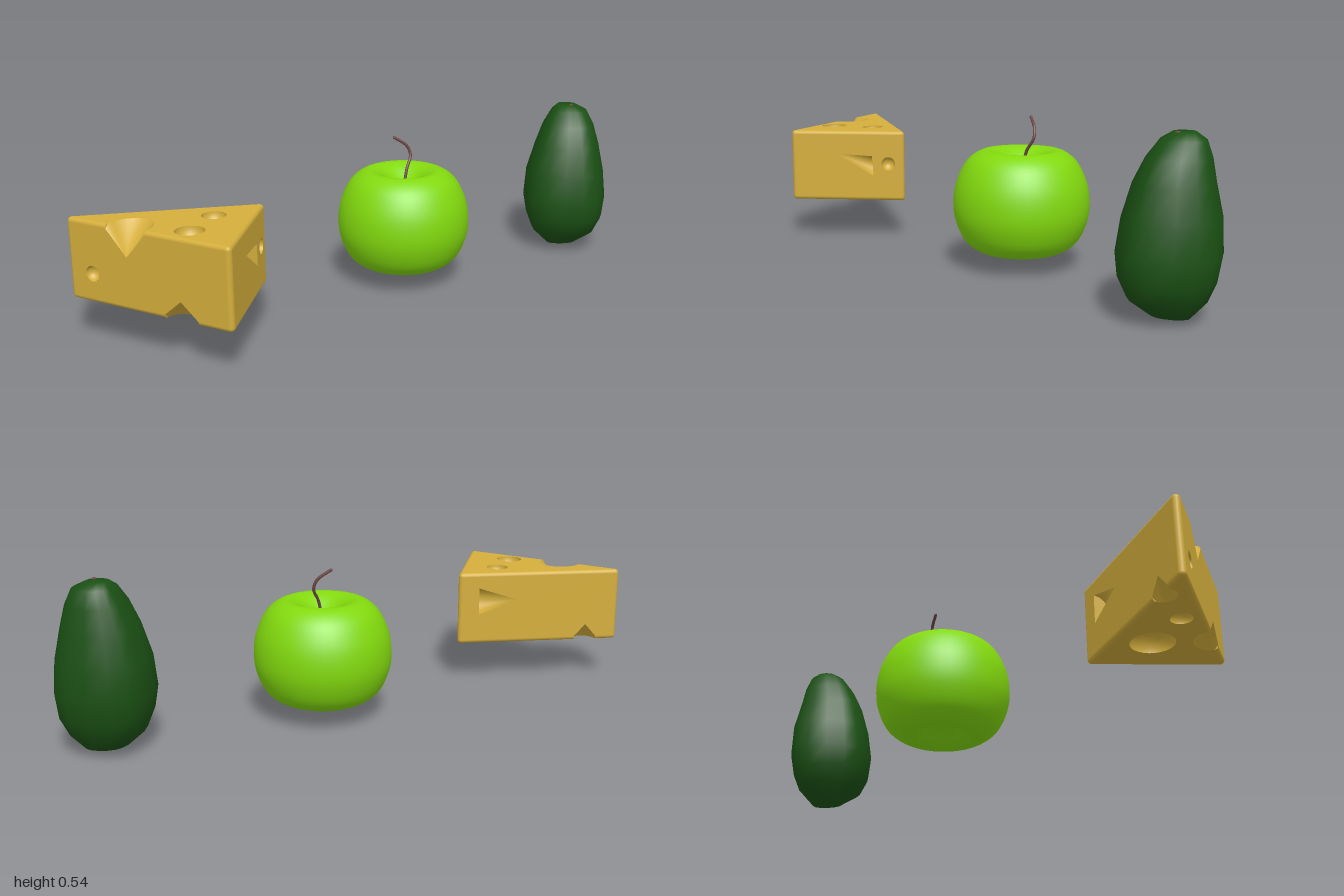
import * as THREE from 'three';
import { mergeVertices } from 'three/addons/utils/BufferGeometryUtils.js';

const V = (x, y, z) => new THREE.Vector3(x, y, z);
const UP = V(0, 1, 0);
const mat = (color) => new THREE.MeshStandardMaterial({ color, side: THREE.DoubleSide });

function add(parent, name, geometry, material) {
  const mesh = new THREE.Mesh(geometry, material);
  mesh.name = name;
  parent.add(mesh);
  return mesh;
}

// Flat face through world points, with holes, facing u x v
function panel(outline, holes, u, v) {
  const n = u.clone().cross(v);
  const flat = (pts) => pts.map((p) => new THREE.Vector2(p.dot(u), p.dot(v)));
  const shape = new THREE.Shape(flat(outline));
  shape.holes = holes.map((h) => new THREE.Path(flat(h)));
  const basis = new THREE.Matrix4().makeBasis(u, v, n).setPosition(n.clone().multiplyScalar(outline[0].dot(n)));
  return new THREE.ShapeGeometry(shape).applyMatrix4(basis);
}

// Triangles from one tip to a row of points
function fan(tip, pts) {
  const g = new THREE.BufferGeometry().setFromPoints([tip, ...pts]);
  const index = [];
  for (let i = 1; i < pts.length; i++) index.push(0, i, i + 1);
  g.setIndex(index);
  g.computeVertexNormals();
  return g;
}

// Arc around c: starts at c + a, passes c + b
function arc(c, a, b, angle = Math.PI, steps = 16) {
  return Array.from({ length: steps + 1 }, (_, i) => {
    const t = (angle * i) / steps;
    return c.clone().addScaledVector(a, Math.cos(t)).addScaledVector(b, Math.sin(t));
  });
}

function makeCheese() {
  const cheese = new THREE.Group();
  cheese.name = 'cheese';
  const m = mat(0xd4ae3c);
  const r = 0.013, low = 0.156, high = 0.387;
  const corners = [V(-0.76, 0, 0.266), V(-0.484, 0, -0.01), V(-0.988, 0, -0.25)];
  const at = (p, y) => V(p.x, y, p.z);
  const X = V(1, 0, 0), Z = V(0, 0, 1);

  // Round hole: returns its rim and adds a hemispherical bowl
  function bowl(c, radius, u, v) {
    const n = u.clone().cross(v);
    const g = new THREE.SphereGeometry(radius, 24, 8, 0, Math.PI * 2, Math.PI / 2, Math.PI / 2);
    g.applyQuaternion(new THREE.Quaternion().setFromUnitVectors(UP, n));
    add(cheese, 'roundHole', g.translate(c.x, c.y, c.z), m);
    return arc(c, u.clone().multiplyScalar(radius), v.clone().multiplyScalar(radius), Math.PI * 2, 24).slice(0, -1);
  }

  // Notches across an edge: at = distance along it, w = half width, h = height, d = depth
  const notches = [
    { side: 2, top: true, at: 0.21, w: 0.072, h: 0.078, d: 0.085 },
    { side: 2, top: false, at: 0.4, w: 0.06, h: 0.05, d: 0.05 },
    { side: 1, top: false, at: 0.455, w: 0.04, h: 0.045, d: 0.04 },
  ];
  // Holes in the three sides: round ones [along, y, radius], wedges [tip, upper, lower]
  const sideRound = [[[0.345, 0.28, 0.025]], [], [[0.075, 0.235, 0.025]]];
  const sideWedge = [
    [[0.155, 0.316], [0.285, 0.308], [0.29, 0.235]],
    [[0.2, 0.3], [0.06, 0.345], [0.06, 0.25]],
    null,
  ];
  const topOutline = [], bottomOutline = [];

  for (let s = 0; s < 3; s++) {
    const P = corners[s], Q = corners[(s + 1) % 3];
    const L = P.distanceTo(Q);
    const u = Q.clone().sub(P).normalize();
    const n = u.clone().cross(UP), inward = n.clone().negate();
    const edge = (t, y) => at(P, y).addScaledVector(u, t);
    const face = (t, y) => edge(t, y).addScaledVector(n, r);
    const lowSide = [face(0, low)], highSide = [face(0, high)];
    topOutline.push(at(P, high + r));
    bottomOutline.push(at(P, low - r));

    for (const top of [true, false]) {
      const y = top ? high : low, capY = top ? high + r : low - r;
      const k = notches.find((q) => q.side === s && q.top === top);
      const ends = [0, L];
      if (k) {
        ends.splice(1, 0, k.at - k.w, k.at + k.w);
        const tip = face(k.at, top ? high - k.h : low + k.h);
        const bite = arc(edge(k.at, capY), u.clone().multiplyScalar(-k.w), inward.clone().multiplyScalar(k.d));
        const a = face(k.at - k.w, y), b = face(k.at + k.w, y);
        (top ? topOutline : bottomOutline).push(...bite);
        (top ? highSide : lowSide).push(a, tip, b);
        add(cheese, 'edgeNotch', fan(tip, [a, ...bite, b]), m);
      }
      // Rounded edge, interrupted by the notch
      for (let i = 0; i < ends.length; i += 2) {
        const g = new THREE.CylinderGeometry(r, r, ends[i + 1] - ends[i], 16);
        g.applyQuaternion(new THREE.Quaternion().setFromUnitVectors(UP, u));
        add(cheese, 'roundedEdge', g, m).position.copy(edge((ends[i] + ends[i + 1]) / 2, y));
      }
      add(cheese, 'roundedCorner', new THREE.SphereGeometry(r, 16, 10), m).position.copy(at(P, y));
    }
    const post = new THREE.CylinderGeometry(r, r, high - low, 16, 1, true);
    add(cheese, 'uprightEdge', post, m).position.copy(at(P, (low + high) / 2));

    // Side face with its holes
    const holes = sideRound[s].map(([t, y, radius]) => bowl(face(t, y), radius, u, UP));
    if (sideWedge[s]) {
      const [tip, a, b] = sideWedge[s].map(([t, y]) => face(t, y));
      const mid = a.clone().add(b).multiplyScalar(0.5);
      const half = a.clone().sub(mid);
      const rim = arc(mid, half, inward.clone().multiplyScalar(half.length()));
      add(cheese, 'wedgeHole', fan(tip, rim), m);
      add(cheese, 'wedgeHoleEnd', fan(mid, rim), m);
      holes.push([tip, a, b]);
    }
    lowSide.push(face(L, low));
    highSide.push(face(L, high));
    add(cheese, 'sideFace', panel([...lowSide, ...highSide.reverse()], holes, u, UP), m);
  }

  // Top and bottom faces
  const back = Z.clone().negate();
  const topHoles = [[-0.65, 0, 0.038], [-0.778, 0.085, 0.045]].map(([x, z, q]) => bowl(V(x, high + r, z), q, X, back));
  const bottomHoles = [[-0.7, 0.006, 0.068], [-0.85, -0.06, 0.033]].map(([x, z, q]) => bowl(V(x, low - r, z), q, X, Z));
  add(cheese, 'topFace', panel(topOutline, topHoles, X, back), m);
  add(cheese, 'bottomFace', panel(bottomOutline, bottomHoles, X, Z), m);
  return cheese;
}

function makeApple() {
  const apple = new THREE.Group();
  apple.name = 'apple';
  // Lathed body, dimpled above and below
  const profile = [
    [0, 0.1], [0.04, 0.088], [0.085, 0.066], [0.13, 0.06], [0.185, 0.095], [0.217, 0.16], [0.225, 0.225],
    [0.214, 0.295], [0.18, 0.362], [0.13, 0.396], [0.085, 0.388], [0.04, 0.358], [0, 0.335],
  ].map(([x, y]) => new THREE.Vector2(x, y));
  const points = new THREE.SplineCurve(profile).getPoints(48);
  points.forEach((p) => { p.x = Math.max(p.x, 0); });
  add(apple, 'appleBody', new THREE.LatheGeometry(points, 48), mat(0x82d90e)).position.set(0.125, 0, -0.055);
  const path = new THREE.CatmullRomCurve3([
    V(0.127, 0.33, -0.056), V(0.143, 0.395, -0.06), V(0.167, 0.44, -0.07), V(0.158, 0.472, -0.08), V(0.12, 0.502, -0.1),
  ]);
  const m = mat(0x6b4845);
  add(apple, 'appleStem', new THREE.TubeGeometry(path, 24, 0.005, 8), m);
  add(apple, 'stemTip', new THREE.SphereGeometry(0.005, 8, 6), m).position.set(0.12, 0.502, -0.1);
  return apple;
}

function makeAvocado() {
  const avocado = new THREE.Group();
  avocado.name = 'avocado';
  // Cross-sections: y, centre x, half width, centre z, half depth
  const rings = [
    [0.003, 0.835, 0, 0.03, 0], [0.02, 0.838, 0.072, 0.03, 0.055], [0.07, 0.834, 0.122, 0.034, 0.125],
    [0.13, 0.835, 0.15, 0.037, 0.153], [0.2, 0.835, 0.16, 0.033, 0.165], [0.3, 0.838, 0.15, 0.028, 0.155],
    [0.4, 0.843, 0.123, 0.028, 0.127], [0.47, 0.852, 0.098, 0.022, 0.102], [0.52, 0.86, 0.07, 0.015, 0.07],
    [0.54, 0.856, 0.036, 0.005, 0.035], [0.538, 0.855, 0, 0.01, 0],
  ];
  const rows = rings.length - 1;
  let g = new THREE.CylinderGeometry(1, 1, rows, 16, rows, true);
  const p = g.attributes.position;
  const soften = (c) => Math.sign(c) * Math.pow(Math.abs(c), 1.2);
  for (let i = 0; i < p.count; i++) {
    const [y, cx, rx, cz, rz] = rings[Math.round(p.getY(i) + rows / 2)];
    p.setXYZ(i, cx + rx * soften(p.getX(i)), y, cz + rz * soften(p.getZ(i)));
  }
  g.deleteAttribute('uv');
  g.deleteAttribute('normal');
  g = mergeVertices(g);
  g.computeVertexNormals();
  add(avocado, 'avocadoBody', g, mat(0x1b5014));
  const stub = new THREE.CylinderGeometry(0.007, 0.009, 0.025, 8);
  add(avocado, 'avocadoStem', stub, mat(0x7a4a48)).position.set(0.853, 0.53, 0.033);
  return avocado;
}

export function createModel() {
  const model = new THREE.Group();
  model.name = 'food';
  model.add(makeCheese(), makeApple(), makeAvocado());
  return model;
}
